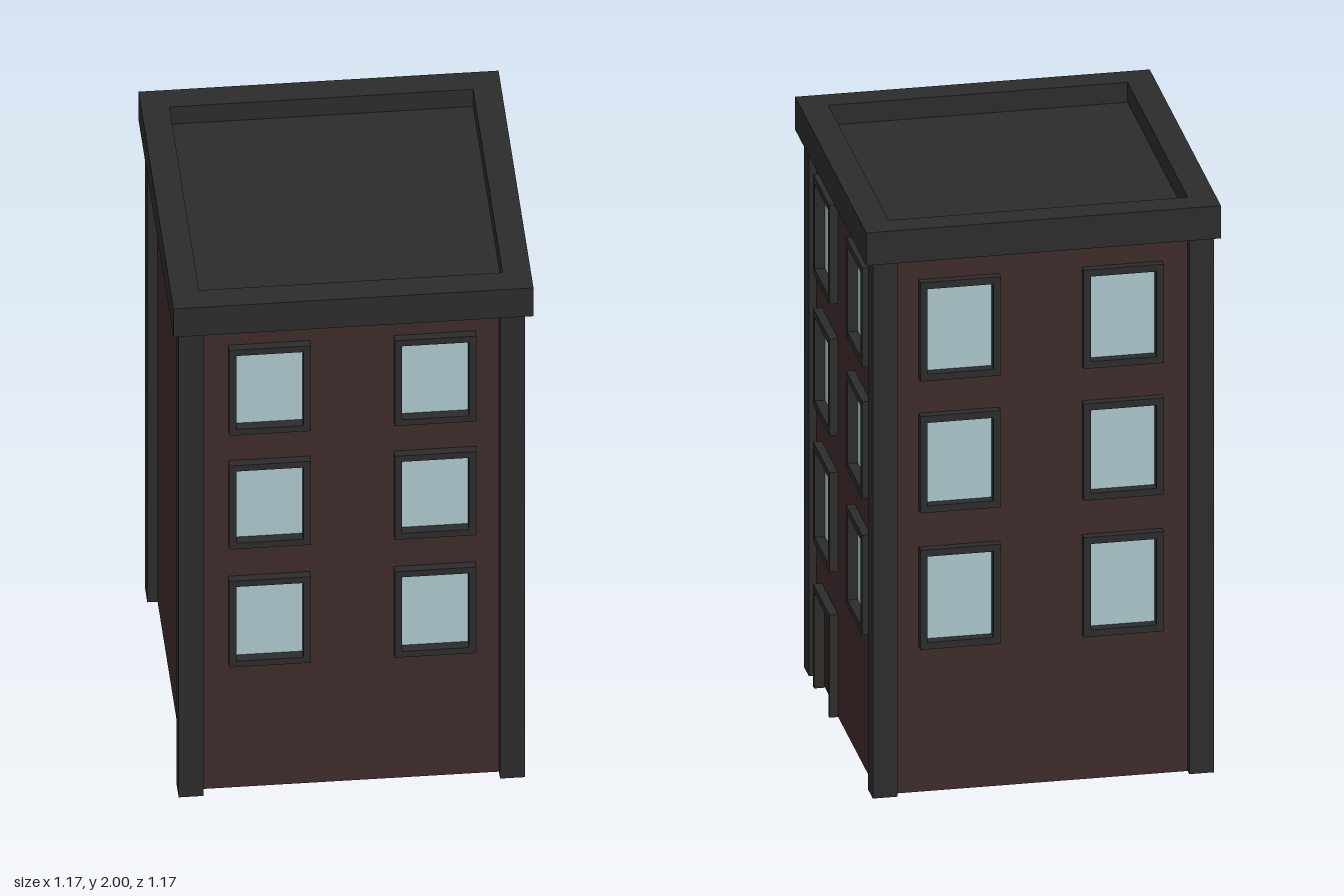
import * as THREE from 'three';

const mat = (color, side = THREE.FrontSide) => new THREE.MeshStandardMaterial({ color, side, flatShading: true });
const trim = mat(0x2b2b2b);
const brick = mat(0x3e2a2a, THREE.DoubleSide);
const glass = mat(0xa9c4c9, THREE.DoubleSide);
const wood = mat(0x352217, THREE.DoubleSide);

const WALL = 0.535;       // distance of each wall from the centre
const EAVES = 1.885;      // underside of the roof
const FRAME_OUT = 0.564;  // outer face of window and door frames
const PANE = 0.528;       // glass and door plane

// frame rectangles: [y bottom, y top] per floor, at x = +-0.27
const floors = [[0.51, 0.86], [0.99, 1.33], [1.453, 1.8]];
const windowX = 0.27, halfW = 0.133, rim = 0.024;
const door = { x: -0.27, half: 0.135, top: 0.36, side: 0.018, head: 0.025 };

function add(parent, name, geometry, material, x = 0, y = 0, z = 0) {
  const mesh = new THREE.Mesh(geometry, material);
  mesh.name = name;
  mesh.position.set(x, y, z);
  parent.add(mesh);
  return mesh;
}

function polygon(points, Type = THREE.Shape) {
  return new Type(points.map(([x, y]) => new THREE.Vector2(x, y)));
}

const rect = (x0, y0, x1, y1) => [[x0, y0], [x1, y0], [x1, y1], [x0, y1]];

const extrude = (shape, depth) => new THREE.ExtrudeGeometry(shape, { depth, bevelEnabled: false });

// frame with a square opening and a recessed pane
function addWindow(parent, x, y0, y1) {
  const frame = polygon(rect(x - halfW, y0, x + halfW, y1));
  frame.holes.push(polygon(rect(x - halfW + rim, y0 + rim, x + halfW - rim, y1 - rim), THREE.Path));
  add(parent, 'windowFrame', extrude(frame, FRAME_OUT - 0.53), trim, 0, 0, 0.53);
  add(parent, 'windowPane', new THREE.PlaneGeometry(halfW * 2, y1 - y0), glass, x, (y0 + y1) / 2, PANE);
}

// doorway: three-sided frame and a recessed panel
function addDoor(parent) {
  const { x, half, top, side, head } = door;
  const l = x - half, r = x + half;
  const frame = polygon([[l, 0], [l + side, 0], [l + side, top - head], [r - side, top - head],
    [r - side, 0], [r, 0], [r, top], [l, top]]);
  add(parent, 'doorFrame', extrude(frame, FRAME_OUT - 0.53), trim, 0, 0, 0.53);
  add(parent, 'door', new THREE.PlaneGeometry(half * 2, top), wood, x, top / 2, PANE);
}

// one side of the building, turned into place about the y axis
function makeSide(name, angle, hasWindows, hasDoor) {
  const side = new THREE.Group();
  side.name = name;
  side.rotation.y = angle;
  const outline = [[-WALL, 0]];
  if (hasDoor) {
    const l = door.x - door.half, r = door.x + door.half;
    outline.push([l, 0], [l, door.top], [r, door.top], [r, 0]);
  }
  outline.push([WALL, 0], [WALL, EAVES], [-WALL, EAVES]);
  const wall = polygon(outline);
  if (hasWindows) {
    for (const [y0, y1] of floors) {
      for (const x of [-windowX, windowX]) {
        wall.holes.push(polygon(rect(x - halfW, y0, x + halfW, y1), THREE.Path));
        addWindow(side, x, y0, y1);
      }
    }
  }
  if (hasDoor) addDoor(side);
  add(side, 'wall', new THREE.ShapeGeometry(wall), brick, 0, 0, WALL);
  return side;
}

export function createModel() {
  const model = new THREE.Group();
  model.name = 'building';

  // walls
  model.add(
    makeSide('frontSide', 0, true, false),
    makeSide('leftSide', Math.PI / 2, true, true),
    makeSide('backSide', Math.PI, true, false),
    makeSide('rightSide', -Math.PI / 2, false, false),
  );

  // corner posts
  for (const sx of [-1, 1]) {
    for (const sz of [-1, 1]) {
      add(model, 'cornerPost', new THREE.BoxGeometry(0.081, EAVES, 0.081), trim,
        sx * 0.524 - 0.004, EAVES / 2, sz * 0.527 + 0.005);
    }
  }

  // roof: parapet ring around a sunken deck
  const R = 0.587, I = 0.495, deckTop = 1.93;
  const ring = polygon(rect(-R, -R, R, R));
  ring.holes.push(polygon(rect(-I, -I, I, I), THREE.Path));
  add(model, 'parapet', extrude(ring, 2 - EAVES), trim, 0, EAVES, 0).rotation.x = -Math.PI / 2;
  add(model, 'roofDeck', new THREE.BoxGeometry(I * 2, deckTop - EAVES, I * 2), trim, 0, (deckTop + EAVES) / 2, 0);

  return model;
}
